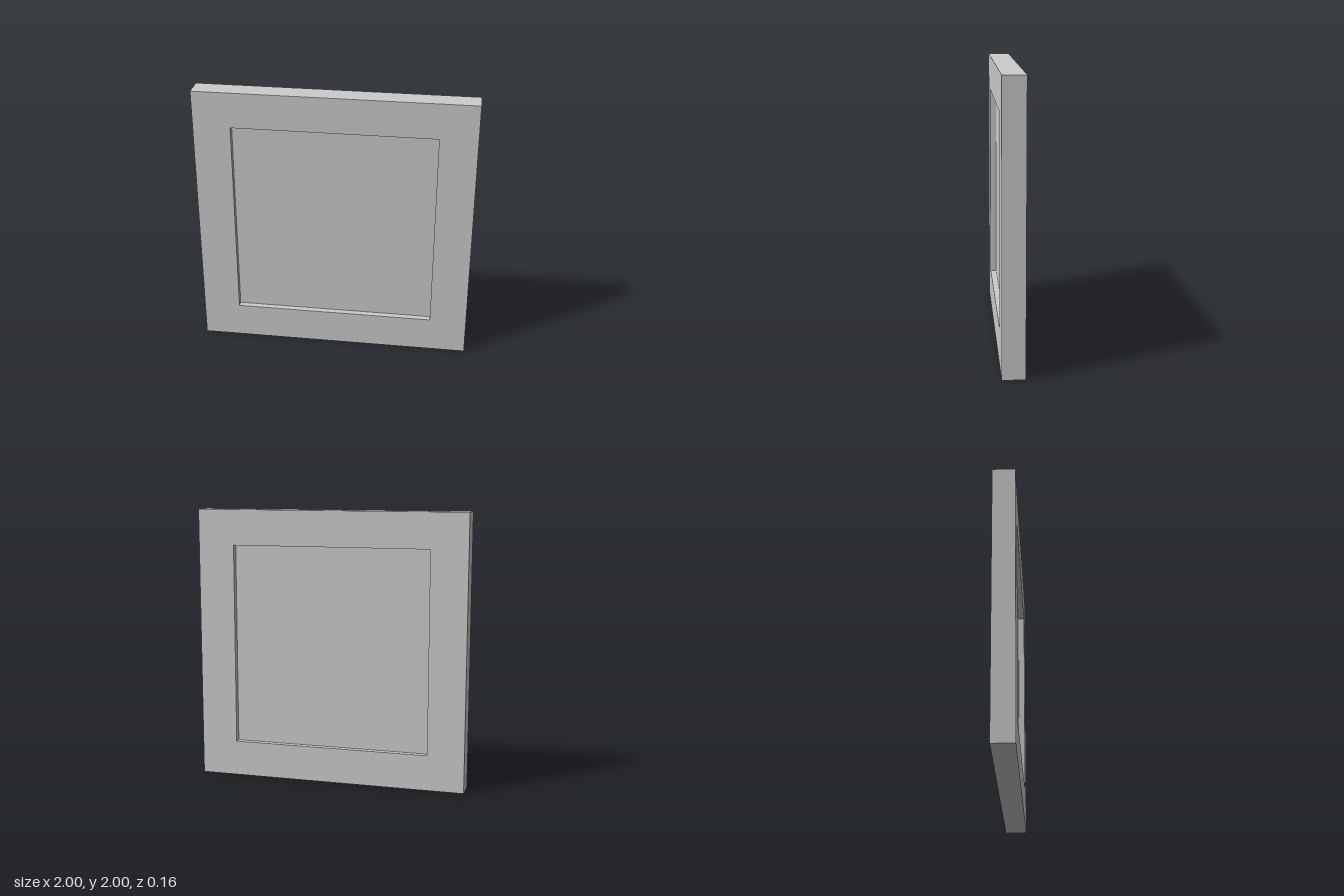
import * as THREE from 'three';

const SIZE = 2, DEPTH = 0.16;           // outer frame
const OPEN_W = 1.46, OPEN_H = 1.48;     // opening
const PANE_DEPTH = 0.07;                // panel recessed on both sides

// Closed rectangle centred on the origin
function rectangle(Type, w, h) {
  const p = new Type();
  p.moveTo(-w / 2, -h / 2);
  p.lineTo(w / 2, -h / 2);
  p.lineTo(w / 2, h / 2);
  p.lineTo(-w / 2, h / 2);
  p.closePath();
  return p;
}

export function createModel() {
  const group = new THREE.Group();
  group.name = 'framedPanel';
  const material = new THREE.MeshStandardMaterial({ color: 0xcccccc });

  // Square frame with a rectangular opening
  const outline = rectangle(THREE.Shape, SIZE, SIZE);
  outline.holes.push(rectangle(THREE.Path, OPEN_W, OPEN_H));
  const frameGeometry = new THREE.ExtrudeGeometry(outline, { depth: DEPTH, bevelEnabled: false });
  frameGeometry.translate(0, 0, -DEPTH / 2);
  const frame = new THREE.Mesh(frameGeometry, material);
  frame.name = 'frame';

  // Thin panel filling the opening
  const pane = new THREE.Mesh(new THREE.BoxGeometry(OPEN_W, OPEN_H, PANE_DEPTH), material);
  pane.name = 'pane';

  for (const part of [frame, pane]) {
    part.position.y = SIZE / 2;
    group.add(part);
  }
  return group;
}
